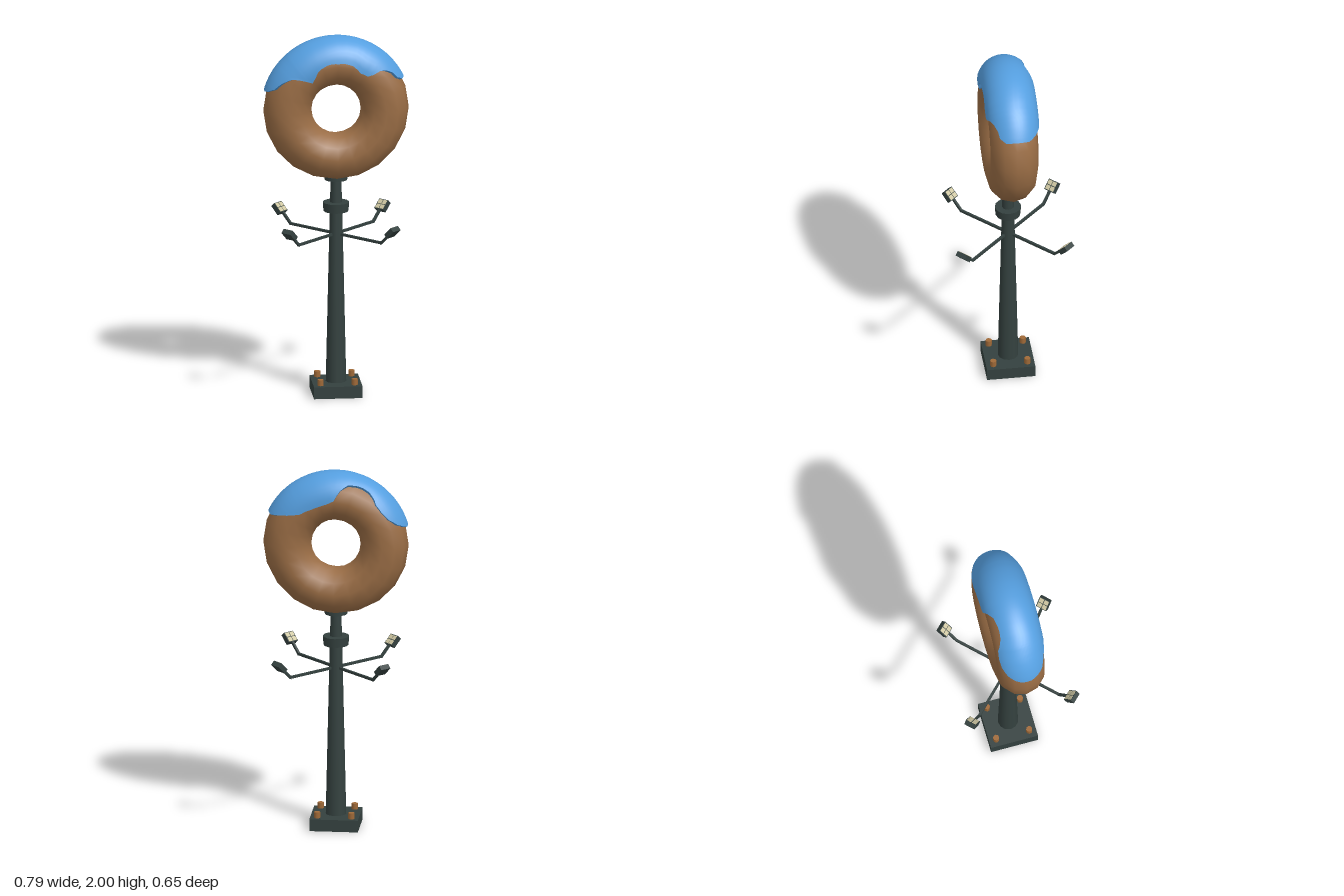
import * as THREE from 'three';

const mat = (name, color, side = THREE.FrontSide) => {
  const m = new THREE.MeshStandardMaterial({ color, side });
  m.name = name;
  return m;
};

const RING = 0.265, TUBE = 0.131, ICING = 0.143, CENTRE_Y = 1.594;

// Icing outline: [angle around the ring, reach over the back, reach over the front], degrees
const OUTLINE = [
  [26, 30, 24], [30, 50, 38], [36, 70, 42], [42, 82, 52], [46, 88, 63], [49, 90, 80], [53, 91, 90],
  [62, 94, 92], [73, 94, 83], [82, 92, 81], [90, 86, 82], [96, 62, 81], [102, 46, 82], [110, 41, 86],
  [115, 40, 90], [121, 42, 99], [128, 50, 105], [132, 57, 94], [141, 60, 67], [150, 56, 53],
  [158, 42, 42], [162, 26, 26], [164, 12, 10],
];

// Point on the ring at angle u, round the tube at angle v (0 = outward, 90 = front)
function ringPoint(u, v, r) {
  const a = THREE.MathUtils.degToRad(u), b = THREE.MathUtils.degToRad(v);
  const d = RING + r * Math.cos(b);
  return [d * Math.cos(a), d * Math.sin(a), r * Math.sin(b)];
}

// Surface through a grid of points, rows of equal length
function gridGeometry(rows) {
  const n = rows[0].length, index = [];
  for (let i = 0; i < rows.length - 1; i++) {
    for (let j = 0; j < n - 1; j++) {
      const a = i * n + j, b = a + n;
      index.push(a, b, a + 1, b, b + 1, a + 1);
    }
  }
  const g = new THREE.BufferGeometry();
  g.setAttribute('position', new THREE.Float32BufferAttribute(rows.flat(2), 3));
  g.setIndex(index);
  g.computeVertexNormals();
  return g;
}

function icingGeometries() {
  // Subdivide the outline linearly
  const stations = [];
  OUTLINE.forEach((s, i) => {
    stations.push(s);
    const next = OUTLINE[i + 1];
    if (next) stations.push(s.map((x, k) => (x + next[k]) / 2));
  });
  const N = 18;
  const vAt = ([, back, front], j) => -back + (back + front) * j / N;
  const steps = Array.from({ length: N + 1 }, (_, j) => j);
  const top = gridGeometry(stations.map(s => steps.map(j => ringPoint(s[0], vAt(s, j), ICING))));

  // Rim: once round the edge, dropping into the dough
  const first = stations[0], last = stations[stations.length - 1];
  const edge = [
    ...stations.map(s => [s[0], s[2]]),
    ...steps.map(j => [last[0], vAt(last, N - j)]),
    ...[...stations].reverse().map(s => [s[0], -s[1]]),
    ...steps.map(j => [first[0], vAt(first, j)]),
  ].filter((p, i, all) => i === 0 || p[0] !== all[i - 1][0] || p[1] !== all[i - 1][1]);
  const rim = gridGeometry(edge.map(([u, v]) => [ringPoint(u, v, ICING), ringPoint(u, v, TUBE - 0.008)]));
  return [top, rim];
}

export function createModel() {
  const dark = mat('dark metal', 0x34413f);
  const dough = mat('dough brown', 0x9a6d45);
  const blue = mat('blue icing', 0x559fe0, THREE.DoubleSide);
  const copper = mat('copper bolt', 0xa06a38);
  const cream = mat('lamp cream', 0xcfc7a2);

  const model = new THREE.Group();
  model.name = 'ringSignPost';
  const add = (parent, name, geometry, material, x = 0, y = 0, z = 0) => {
    const m = new THREE.Mesh(geometry, material);
    m.name = name;
    m.position.set(x, y, z);
    parent.add(m);
    return m;
  };
  // Upright round section between two heights
  const column = (name, rTop, rBottom, y0, y1) =>
    add(model, name, new THREE.CylinderGeometry(rTop, rBottom, y1 - y0, 12), dark, 0, (y0 + y1) / 2, 0);

  // Base plate with four bolts
  add(model, 'basePlate', new THREE.BoxGeometry(0.264, 0.066, 0.264), dark, 0, 0.033, 0);
  for (const x of [-1, 1]) for (const z of [-1, 1]) {
    add(model, 'bolt', new THREE.CylinderGeometry(0.017, 0.017, 0.034, 8), copper, x * 0.093, 0.082, z * 0.093);
  }

  // Post
  column('post', 0.034, 0.056, 0.06, 1.03);
  column('collar', 0.072, 0.068, 1.02, 1.07);
  column('neck', 0.029, 0.033, 1.06, 1.21);
  column('ringSeat', 0.062, 0.062, 1.196, 1.216);

  // Ring and icing
  const ring = new THREE.Group();
  ring.name = 'doughRing';
  ring.position.y = CENTRE_Y;
  model.add(ring);
  add(ring, 'dough', new THREE.TorusGeometry(RING, TUBE, 12, 20), dough);
  const [top, rim] = icingGeometries();
  add(ring, 'icing', top, blue);
  add(ring, 'icingRim', rim, blue);

  // Four lamp arms, each built along +x and turned to a diagonal
  for (let k = 0; k < 4; k++) {
    const arm = new THREE.Group();
    arm.name = 'lampArm';
    arm.rotation.y = Math.PI / 4 + k * Math.PI / 2;
    model.add(arm);
    add(arm, 'armBar', new THREE.BoxGeometry(0.318, 0.013, 0.013), dark, 0.159, 0.893, 0);
    const bend = add(arm, 'armBend', new THREE.BoxGeometry(0.086, 0.013, 0.013), dark, 0.344, 0.919, 0);
    bend.rotation.z = Math.PI / 4;

    // Floodlight tilted up and in towards the ring
    const lamp = new THREE.Group();
    lamp.name = 'floodlight';
    lamp.position.set(0.396, 0.966, 0);
    lamp.rotation.z = Math.PI / 4;
    arm.add(lamp);
    add(lamp, 'housing', new THREE.BoxGeometry(0.062, 0.028, 0.063), dark);
    for (const x of [-1, 1]) for (const z of [-1, 1]) {
      add(lamp, 'pane', new THREE.BoxGeometry(0.025, 0.003, 0.025), cream, x * 0.0145, 0.0145, z * 0.0145);
    }
  }
  return model;
}
